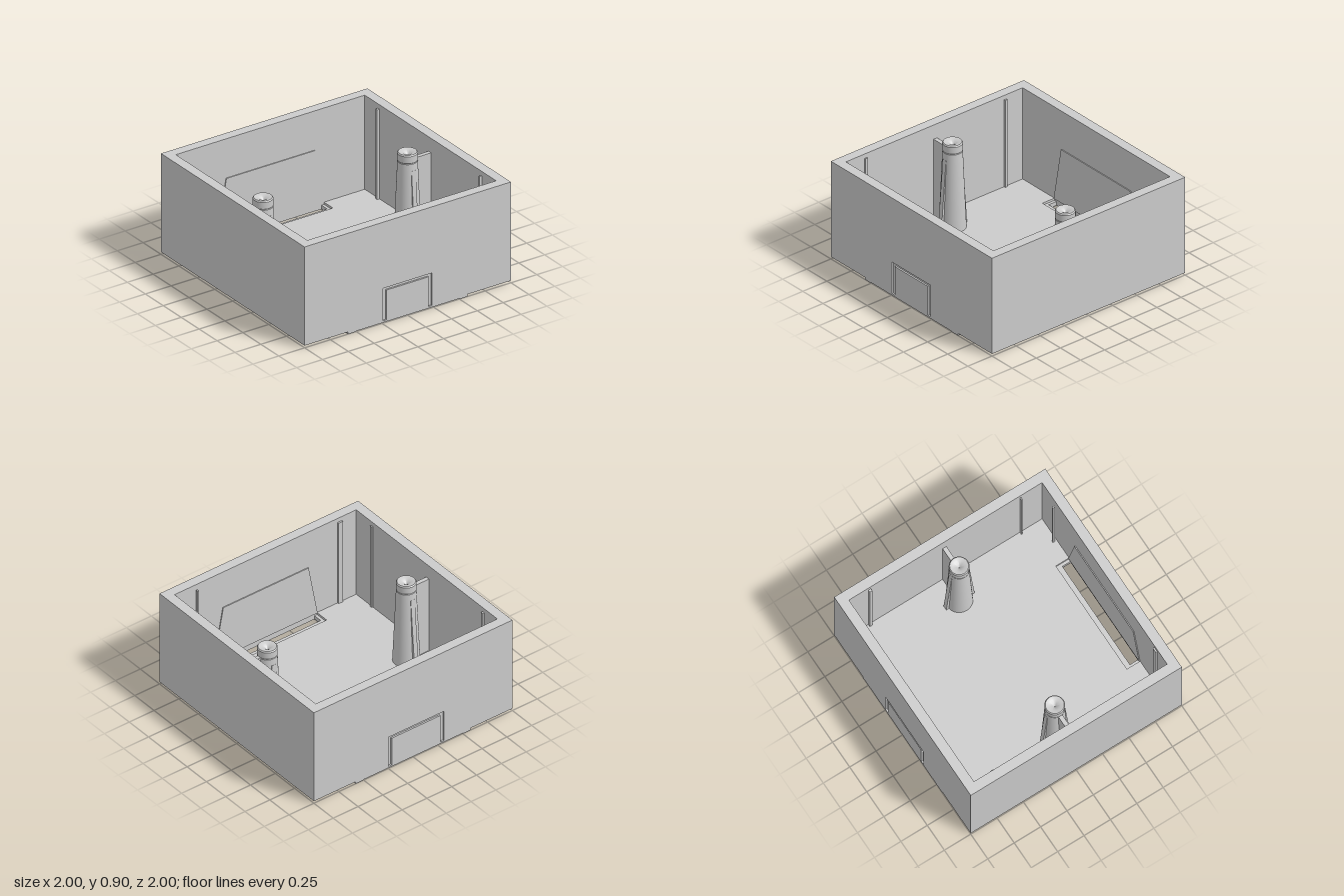
import * as THREE from 'three';
import { toCreasedNormals } from 'three/addons/utils/BufferGeometryUtils.js';

const material = new THREE.MeshStandardMaterial({ color: 0xcccccc });
const WALL = 0.915, FLOOR = 0.06, TOP = 0.9;

function add(parent, name, geometry, x = 0, y = 0, z = 0) {
  const mesh = new THREE.Mesh(geometry, material);
  mesh.name = name;
  mesh.position.set(x, y, z);
  parent.add(mesh);
  return mesh;
}

// box given by its limits
function block(parent, name, x0, x1, y0, y1, z0, z1) {
  return add(parent, name, new THREE.BoxGeometry(x1 - x0, y1 - y0, z1 - z0),
    (x0 + x1) / 2, (y0 + y1) / 2, (z0 + z1) / 2);
}

const polygon = (points) => new THREE.Shape(points.map(([x, y]) => new THREE.Vector2(x, y)));
const rect = (x0, x1, y0, y1) => polygon([[x0, y0], [x1, y0], [x1, y1], [x0, y1]]);
const extrude = (shape, depth) => new THREE.ExtrudeGeometry(shape, { depth, bevelEnabled: false });

// horizontal plate with holes, from y0 to y1
function plate(parent, name, outline, holes, y0, y1) {
  outline.holes = holes;
  return add(parent, name, extrude(outline, y1 - y0).rotateX(-Math.PI / 2), 0, y0, 0);
}

// thin outer face with an arched groove around a knock-out panel
function knockoutFace(x0, x1) {
  const face = polygon([[-1, 0.02], [x0, 0.02], [x0, 0.31], [x1, 0.31], [x1, 0.02],
    [1, 0.02], [1, TOP], [-1, TOP]]);
  const panel = rect(x0 + 0.035, x1 - 0.035, 0.02, 0.285);
  return extrude([face, panel], 0.015);
}

// screw post with a dimpled head, two tapered fins and a web to the wall
function screwPost() {
  const post = new THREE.Group();
  post.name = 'screwPost';
  const profile = [[0.112, 0.05], [0.082, 0.76], [0.078, 0.765], [0.083, 0.77],
    [0.083, 0.83], [0.075, 0.84], [0.045, 0.835], [0.02, 0.82], [0, 0.79]]
    .map(([r, y]) => new THREE.Vector2(r, y));
  add(post, 'postBody', toCreasedNormals(new THREE.LatheGeometry(profile, 40), 0.6));
  block(post, 'wallWeb', 0.06, 0.22, 0.05, 0.77, -0.018, 0.018);
  for (const side of [-1, 1]) {
    const fin = add(post, 'postFin', extrude(
      polygon([[0.05, 0.05], [0.135, 0.05], [0.085, 0.7], [0.05, 0.7]]), 0.04).translate(0, 0, -0.02));
    fin.rotation.y = side * Math.PI / 2;
  }
  return post;
}

export function createModel() {
  const model = new THREE.Group();
  model.name = 'openBox';

  // walls and two-layer floor with stepped slots
  plate(model, 'walls', rect(-1, 1, -0.985, 0.985), [rect(-WALL, WALL, -WALL, WALL)], 0.04, TOP);
  const slots = (halfWidth, inner) => [
    rect(-halfWidth, halfWidth, inner, WALL), rect(-halfWidth, halfWidth, -WALL, -inner)];
  plate(model, 'floorBottom', rect(-1, 1, -0.985, 0.985), slots(0.495, 0.835), 0.02, 0.04);
  plate(model, 'floorTop', rect(-0.95, 0.95, -0.95, 0.95), slots(0.52, 0.79), 0.04, FLOOR);

  // grooved outer faces
  add(model, 'frontFace', knockoutFace(-0.24, 0.235), 0, 0, 0.985);
  add(model, 'backFace', knockoutFace(-0.31, 0.25), 0, 0, -1);

  for (const side of [-1, 1]) {
    // foot frame under each slot
    const [z0, z1] = side > 0 ? [0.79, 1] : [-1, -0.79];
    const [h0, h1] = side > 0 ? [0.835, WALL] : [-WALL, -0.835];
    plate(model, 'footFrame', rect(-0.58, 0.58, -z1, -z0), [rect(-0.495, 0.495, -h1, -h0)], 0.005, 0.02);
    for (const end of [-1, 1])
      block(model, 'footPad', end * 0.54 - 0.04, end * 0.54 + 0.04, 0, 0.02, z0, z1);

    // tapered panel on the inner wall above each slot
    add(model, 'innerPanel', extrude(
      polygon([[-0.52, FLOOR], [0.52, FLOOR], [0.43, 0.55], [-0.43, 0.55]]), 0.008),
    0, 0, side > 0 ? WALL - 0.008 : -WALL);

    // screw posts
    const post = screwPost();
    post.position.set(side * 0.7, 0, -0.01);
    post.rotation.y = side > 0 ? 0 : Math.PI;
    model.add(post);
  }

  // slim vertical guide ribs near the inner corners
  const ribs = [[-0.908, -0.735, 0.018, 0.024], [0.903, -0.72, 0.022, 0.024],
    [-0.91, 0.71, 0.012, 0.024], [0.904, 0.71, 0.022, 0.012],
    [-0.75, 0.908, 0.045, 0.014], [0.705, 0.888, 0.014, 0.022]];
  for (const [x, z, w, d] of ribs)
    block(model, 'guideRib', x - w / 2, x + w / 2, FLOOR, 0.86, z - d / 2, z + d / 2);

  // shallow disc under the floor
  add(model, 'undersideDisc', new THREE.CylinderGeometry(0.32, 0.32, 0.006, 48), 0, 0.02, 0);
  return model;
}
